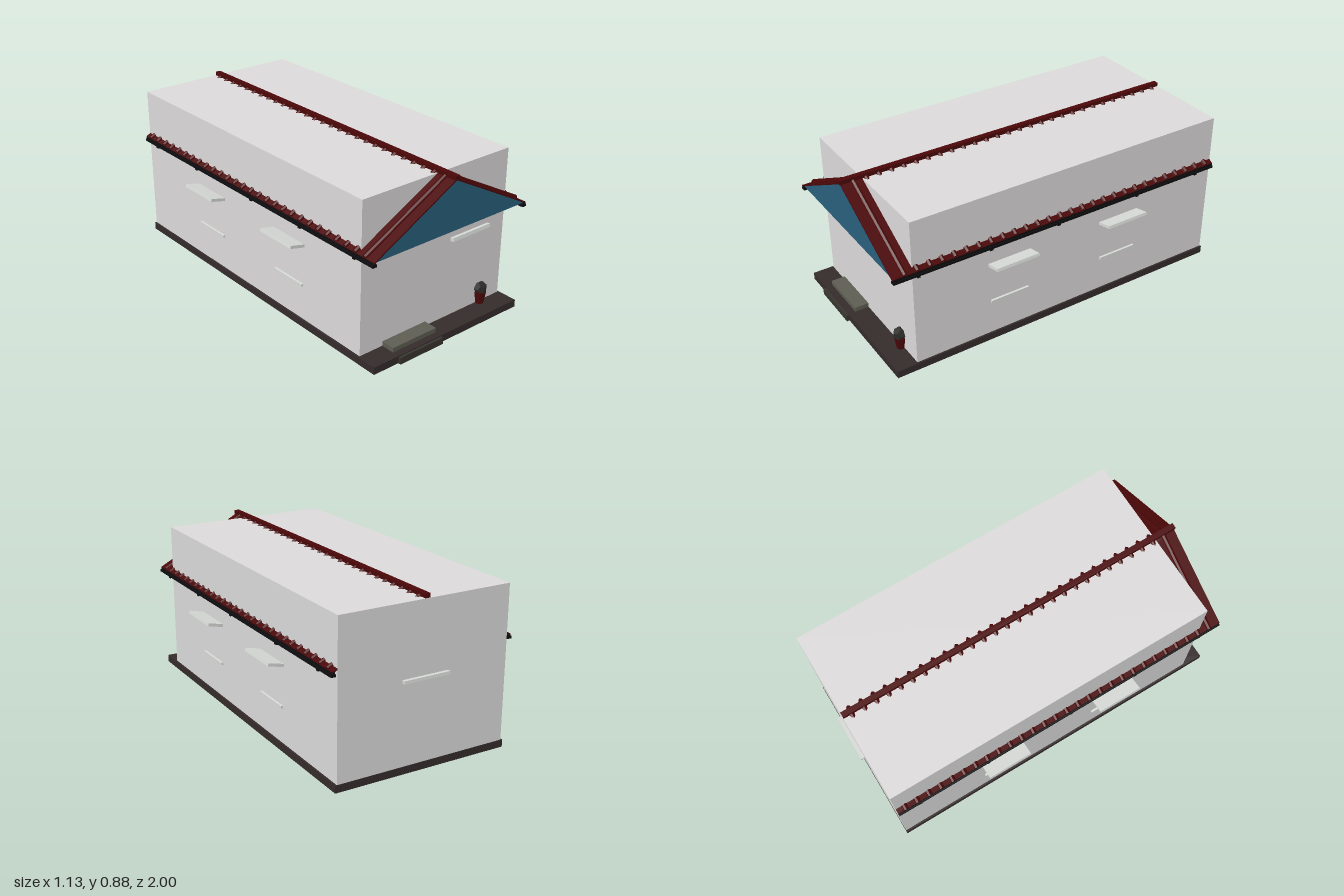
import * as THREE from 'three';

const mat = (name, color, extra = {}) => {
  const m = new THREE.MeshStandardMaterial({ color });
  m.name = name;
  return Object.assign(m, extra);
};

export function createModel() {
  const house = new THREE.Group();
  house.name = 'house';
  const wall = mat('wallGrey', 0xdbd9d9);
  const trim = mat('trimGrey', 0xd8dbd8);
  const blue = mat('gableBlue', 0x285f7c);
  const red = mat('tileRed', 0x4b0708, { flatShading: true });
  const dark = mat('plinthBrown', 0x352b2b);
  const black = mat('gutterBlack', 0x0e0d0f);
  const stone = mat('stepStone', 0x5d5d52);
  const lowStone = mat('lowerStepStone', 0x38342f);
  const leaf = mat('leafCharcoal', 0x2b2a29, { flatShading: true });

  const add = (name, geometry, material, x = 0, y = 0, z = 0) => {
    const mesh = new THREE.Mesh(geometry, material);
    mesh.name = name;
    mesh.position.set(x, y, z);
    house.add(mesh);
    return mesh;
  };
  // Box given by its extents on each axis
  const box = (name, material, x0, x1, y0, y1, z0, z1) =>
    add(name, new THREE.BoxGeometry(x1 - x0, y1 - y0, z1 - z0), material,
      (x0 + x1) / 2, (y0 + y1) / 2, (z0 + z1) / 2);
  // Outline in x and y, extruded along z
  const prism = (name, material, points, z0, z1) => {
    const shape = new THREE.Shape(points.map(p => new THREE.Vector2(...p)));
    return add(name, new THREE.ExtrudeGeometry(shape, { depth: z1 - z0, bevelEnabled: false }),
      material, 0, 0, z0);
  };

  // Walls, plinth and front steps
  box('walls', wall, -0.48, 0.48, 0.01, 0.862, -0.975, 0.87);
  box('plinth', dark, -0.49, 0.49, 0, 0.04, -0.977, 0.985);
  box('lowerStep', lowStone, -0.335, -0.05, -0.001, 0.035, 0.9, 1);
  box('upperStep', stone, -0.335, -0.05, 0.036, 0.065, 0.86, 0.947);

  // Front gable
  prism('gable', blue, [[-0.5, 0.593], [0.5, 0.593], [0.5, 0.596], [0, 0.861], [-0.5, 0.596]], 0.85, 0.976);

  // Roof: sloping slabs, rows of round tiles, ridge cap and gutters
  const pitch = 0.53;
  const angle = Math.atan(pitch);
  const tileLength = 0.495 / Math.cos(angle);
  const tileGeometry = new THREE.CylinderGeometry(0.015, 0.015, tileLength, 8);
  for (const s of [-1, 1]) {
    const top = x => 0.868 - pitch * x;
    const slab = [[0, top(0)], [0, top(0) - 0.008], [0.505, top(0.505) - 0.008], [0.505, top(0.505)]];
    prism('roofSlab', red, slab.map(([x, y]) => [s * x, y]), -0.973, 0.985);
    for (let i = 0; i < 28; i++) {
      const tile = add('roofTile', tileGeometry, red, s * 0.254, top(0.254) - 0.003, -0.926 + i * 0.0683);
      tile.rotation.z = s * (Math.PI / 2 - angle);
    }
    const strip = (name, x0, x1, y0, y1, z0, z1) =>
      box(name, black, Math.min(s * x0, s * x1), Math.max(s * x0, s * x1), y0, y1, z0, z1);
    strip('fascia', 0.492, 0.506, 0.583, 0.598, -0.973, 0.983);
    strip('gutter', 0.487, 0.512, 0.574, 0.587, -0.973, 0.984);
    for (const z of [0.85, 0.45, 0.05, -0.45, -0.85])
      strip('gutterBracket', 0.487, 0.512, 0.566, 0.575, z - 0.008, z + 0.008);
  }
  box('ridgeCap', red, -0.015, 0.015, 0.863, 0.884, -0.973, 0.99);

  // Side awnings, tilted up outwards, with sills below
  for (const s of [-1, 1]) {
    for (const z of [0.328, -0.353]) {
      const awning = box('awning', trim, -0.048, 0.048, -0.008, 0.008, -0.124, 0.124);
      awning.position.set(s * 0.518, 0.47, z);
      awning.rotation.z = s * 0.23;
      box('sill', trim, s * 0.48 - 0.012, s * 0.48 + 0.012, 0.231, 0.245, z - 0.112, z + 0.112);
    }
  }

  // Narrow canopies over the front and the back
  const front = box('frontCanopy', trim, 0.1, 0.36, 0.467, 0.486, 0.862, 0.893);
  front.rotation.x = -0.2;
  const back = box('backCanopy', trim, -0.13, 0.13, 0.471, 0.487, -0.998, -0.965);
  back.rotation.x = 0.1;

  // Potted shrub
  add('pot', new THREE.CylinderGeometry(0.033, 0.022, 0.068, 8), red, 0.33, 0.073, 0.882);
  add('shrub', new THREE.DodecahedronGeometry(0.037), leaf, 0.33, 0.125, 0.882);

  return house;
}
